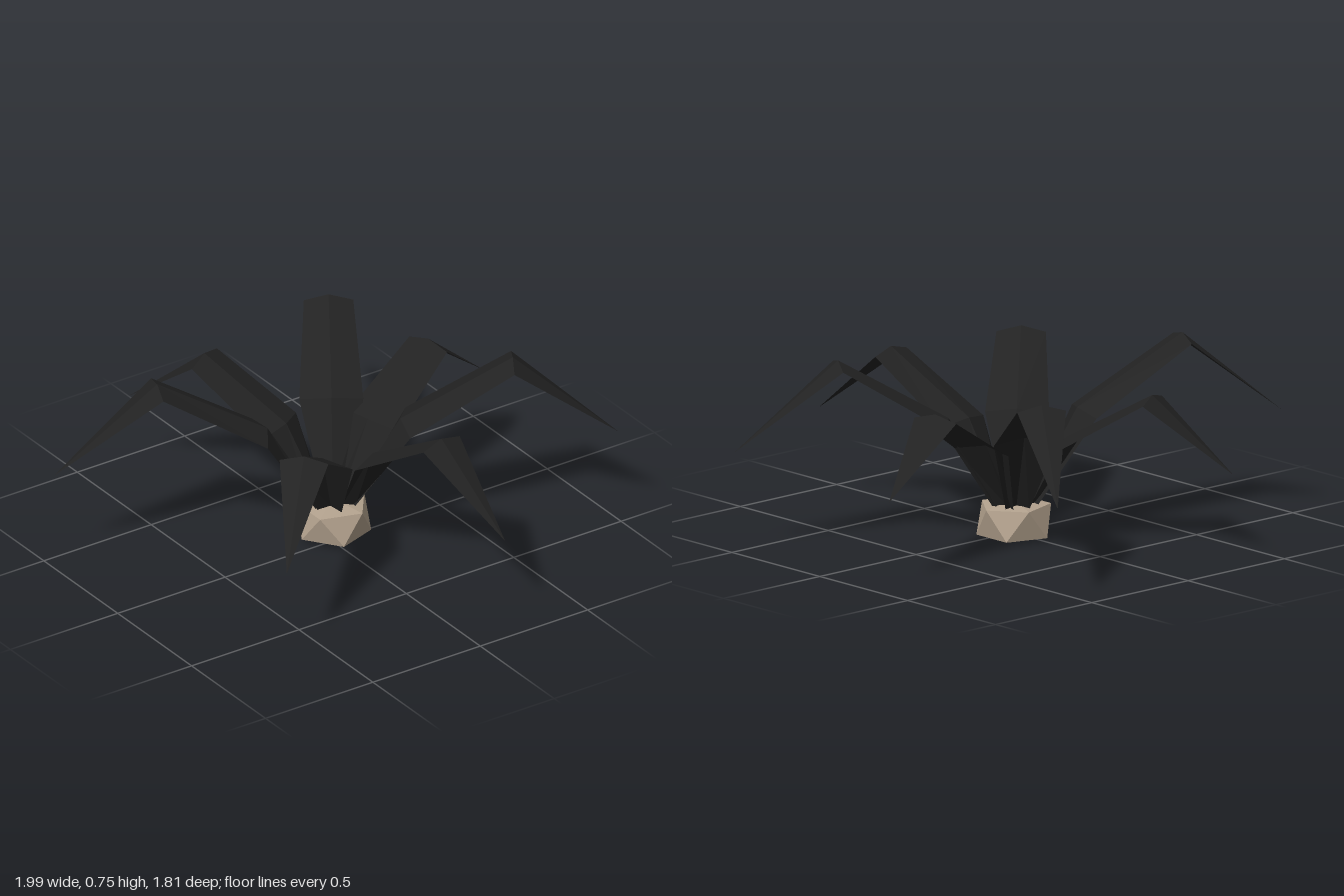
import * as THREE from 'three';

// plant axis
const CX = 0.045, CZ = -0.06;

// leaf tips as [x, z]; the length of each leaf sets its height
const TIPS = [
  [-0.34, -0.885], [0.595, -0.91], [0.905, -0.29], [0.99, 0.495],
  [0.185, 0.9], [-0.66, 0.65], [-0.995, -0.44],
];

// cross-sections along a leaf: edge radius, edge height, half width, ridge radius, ridge height
const leafSections = (s) => [
  [0.075, 0.125, 0.045, 0.05, 0.135],
  [0.262 * s, 0.05 + 0.38 * s, 0.123, 0.262 * s - 0.03, 0.07 + 0.38 * s],
  [0.63 * s, 0.025 + 0.628 * s, 0.095, 0.63 * s, 0.05 + 0.628 * s],
  [s, 0.05 + 0.316 * s, 0, s, 0.05 + 0.316 * s],
];

// folded leaf running along +x, with a raised midrib
function leafGeometry(length) {
  const pos = [], index = [];
  leafSections(length).forEach(([r, y, w, ridgeR, ridgeY], i) => {
    pos.push(r, y, -w, ridgeR, ridgeY, 0, r, y, w);
    if (i === 0) return;
    for (let k = 0; k < 2; k++) {
      const a = (i - 1) * 3 + k, b = a + 1, c = a + 3, d = a + 4;
      index.push(a, b, d);
      if (i < 3) index.push(a, d, c);
      else if (k === 1) index[index.length - 1] = c;
    }
  });
  const geo = new THREE.BufferGeometry();
  geo.setAttribute('position', new THREE.Float32BufferAttribute(pos, 3));
  geo.setIndex(index);
  geo.computeVertexNormals();
  return geo;
}

// squat faceted root: two offset pentagons with shallow caps
function rootGeometry() {
  const pos = [0, 0.15, 0, 0, 0, 0], index = [];
  for (let i = 0; i < 5; i++) {
    const a = (i * 2 * Math.PI) / 5, b = a + Math.PI / 5;
    pos.push(0.145 * Math.cos(a), 0.13, 0.14 * Math.sin(a));
    pos.push(0.146 * Math.cos(b), 0.014, 0.146 * Math.sin(b));
  }
  for (let i = 0; i < 5; i++) {
    const t = 2 + i * 2, b = t + 1, t2 = 2 + ((i + 1) % 5) * 2, b2 = t2 + 1;
    index.push(0, t2, t, t, t2, b, b, t2, b2, 1, b, b2);
  }
  const geo = new THREE.BufferGeometry();
  geo.setAttribute('position', new THREE.Float32BufferAttribute(pos, 3));
  geo.setIndex(index);
  geo.computeVertexNormals();
  return geo;
}

export function createModel() {
  const leafMat = new THREE.MeshStandardMaterial({ color: 0x222222, flatShading: true, side: THREE.DoubleSide });
  leafMat.name = 'charcoal leaf';
  const rootMat = new THREE.MeshStandardMaterial({ color: 0xb3a28e, flatShading: true });
  rootMat.name = 'beige root';

  const model = new THREE.Group();
  model.name = 'plant';

  const root = new THREE.Mesh(rootGeometry(), rootMat);
  root.name = 'root';
  root.position.set(CX - 0.004, 0, CZ + 0.005);
  model.add(root);

  // leaves fanned around the root
  const leaves = new THREE.Group();
  leaves.name = 'leaves';
  leaves.position.set(CX, 0, CZ);
  TIPS.forEach(([x, z], i) => {
    const dx = x - CX, dz = z - CZ;
    const leaf = new THREE.Mesh(leafGeometry(Math.hypot(dx, dz)), leafMat);
    leaf.name = `leaf${i + 1}`;
    leaf.rotation.y = Math.atan2(-dz, dx);
    leaves.add(leaf);
  });
  model.add(leaves);
  return model;
}
